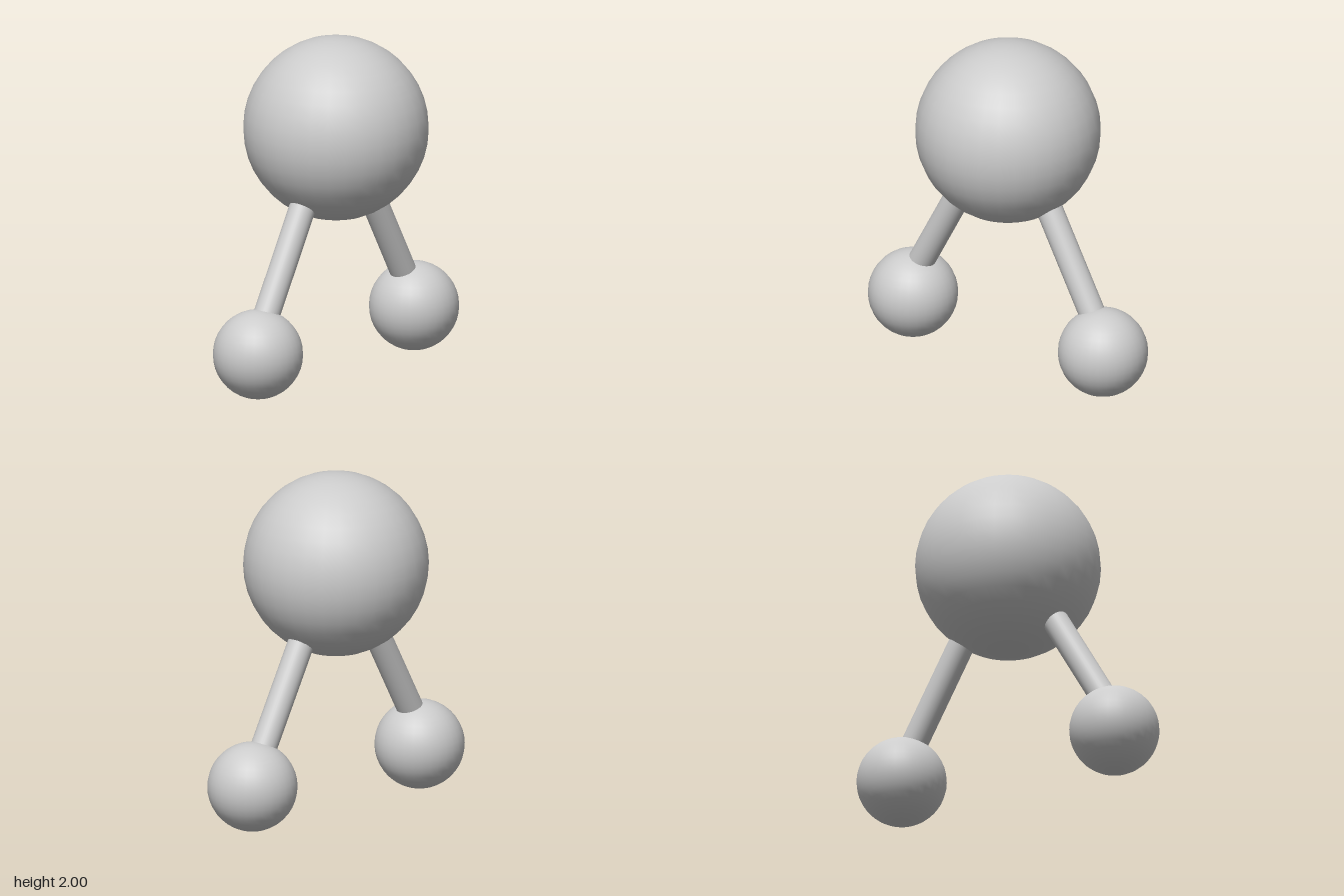
import * as THREE from 'three';

export function createModel() {
  const model = new THREE.Group();
  const material = new THREE.MeshStandardMaterial({ color: 0xcccccc });

  function ball(name, radius, y, z) {
    const mesh = new THREE.Mesh(new THREE.SphereGeometry(radius, 32, 20), material);
    mesh.name = name;
    mesh.position.set(0, y, z);
    model.add(mesh);
  }

  // Cylinder running between two points, with both ends buried in the balls
  function rod(name, from, to) {
    const a = new THREE.Vector3(...from);
    const b = new THREE.Vector3(...to);
    const dir = b.clone().sub(a);
    const mesh = new THREE.Mesh(new THREE.CylinderGeometry(0.077, 0.077, dir.length(), 32), material);
    mesh.name = name;
    mesh.position.copy(a).add(b).multiplyScalar(0.5);
    mesh.quaternion.setFromUnitVectors(new THREE.Vector3(0, 1, 0), dir.normalize());
    model.add(mesh);
  }

  // Large central ball and the two small ones
  ball('centralBall', 0.535, 1.465, 0);
  ball('frontBall', 0.26, 0.26, 0.714);
  ball('backBall', 0.26, 0.276, -0.714);

  // Connecting rods, spread about 60 degrees apart
  rod('frontRod', [0.007, 1.33, 0.155], [0.007, 0.38, 0.702]);
  rod('backRod', [-0.007, 1.33, -0.147], [-0.007, 0.38, -0.69]);

  return model;
}
